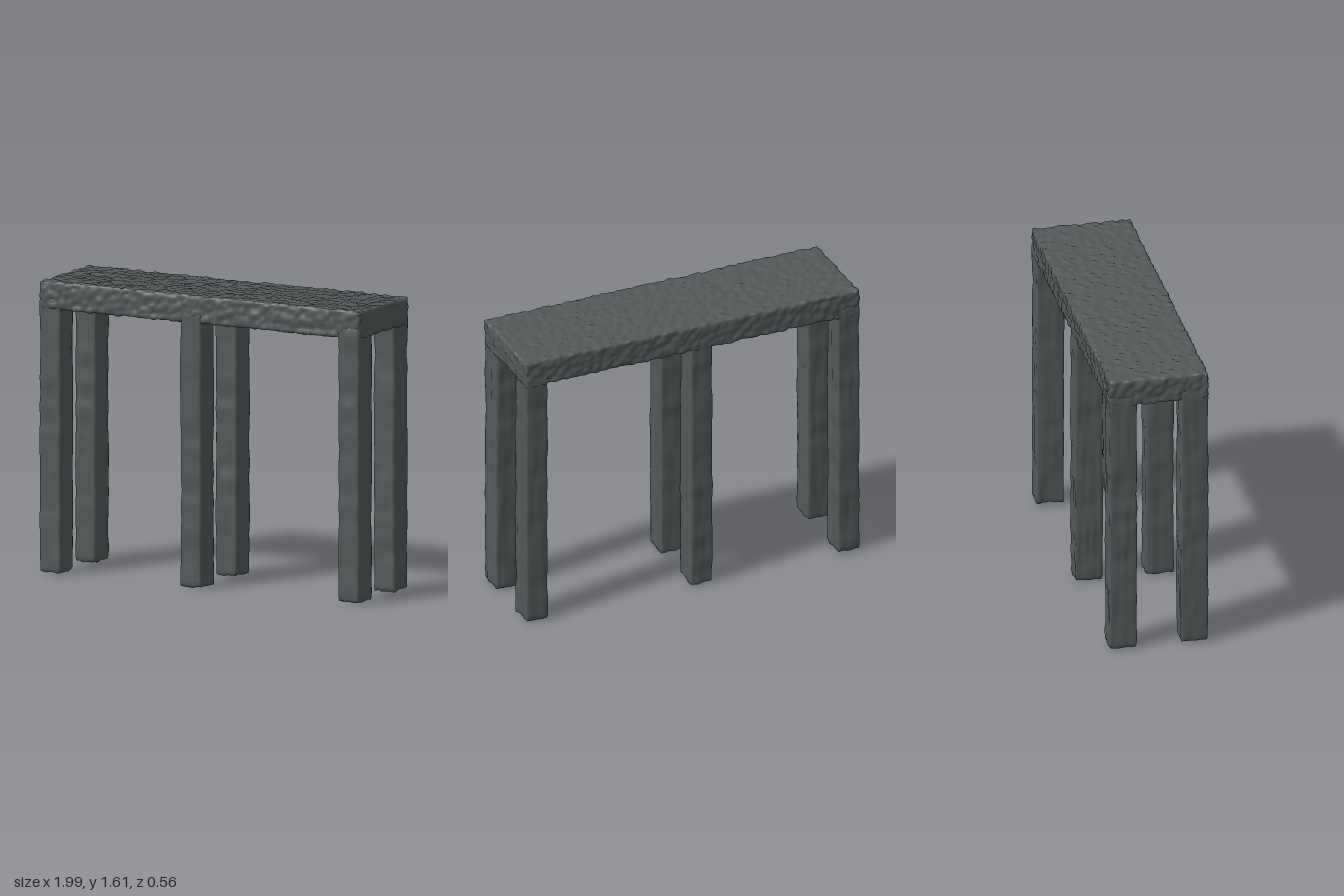
import * as THREE from 'three';
import { mergeVertices } from 'three/addons/utils/BufferGeometryUtils.js';

// Repeatable pseudo-random value in 0..1 for an integer lattice point
function hash(x, y, z, seed) {
  let h = Math.imul(x, 374761393) ^ Math.imul(y, 668265263) ^ Math.imul(z, 1440662683) ^ Math.imul(seed, 974634777);
  h = Math.imul(h ^ (h >>> 13), 1274126177);
  h = Math.imul(h ^ (h >>> 15), 2246822519);
  return ((h ^ (h >>> 16)) >>> 0) / 4294967296;
}

// Smooth noise, 0..1
function noise(x, y, z, seed) {
  const [i, j, k] = [x, y, z].map(Math.floor);
  const ease = (t) => t * t * (3 - 2 * t);
  const u = ease(x - i), v = ease(y - j), w = ease(z - k);
  let sum = 0;
  for (let a = 0; a < 2; a++) for (let b = 0; b < 2; b++) for (let c = 0; c < 2; c++) {
    sum += hash(i + a, j + b, k + c, seed) * (a ? u : 1 - u) * (b ? v : 1 - v) * (c ? w : 1 - w);
  }
  return sum;
}

// Rounded lumps: distance to the nearest jittered lattice point
function lumps(x, y, z, seed) {
  const [i, j, k] = [x, y, z].map(Math.floor);
  let best = 9;
  for (let a = i - 1; a <= i + 1; a++) for (let b = j - 1; b <= j + 1; b++) for (let c = k - 1; c <= k + 1; c++) {
    const dx = a + hash(a, b, c, seed) - x;
    const dy = b + hash(a, b, c, seed + 1) - y;
    const dz = c + hash(a, b, c, seed + 2) - z;
    best = Math.min(best, dx * dx + dy * dy + dz * dz);
  }
  return Math.sqrt(best);
}

// Box with softened edges whose surface is pushed in and out by a rule
function roughBox(size, segments, radius, rule) {
  let geo = new THREE.BoxGeometry(...size, ...segments);
  geo.deleteAttribute('normal');
  geo.deleteAttribute('uv');
  geo = mergeVertices(geo, 1e-4);
  geo.clearGroups();
  const pos = geo.attributes.position;
  const inner = new THREE.Vector3(...size).multiplyScalar(0.5).subScalar(radius);
  const low = inner.clone().negate();
  const p = new THREE.Vector3(), core = new THREE.Vector3(), dir = new THREE.Vector3();
  for (let i = 0; i < pos.count; i++) {
    p.fromBufferAttribute(pos, i);
    core.copy(p).clamp(low, inner);
    dir.subVectors(p, core).normalize();
    core.addScaledVector(dir, radius + rule(p, dir));
    pos.setXYZ(i, core.x, core.y, core.z);
  }
  geo.computeVertexNormals();
  return geo;
}

export function createModel() {
  const model = new THREE.Group();
  const stone = new THREE.MeshStandardMaterial({ color: 0x525858 });
  stone.name = 'dark grey stone';

  // Long hammered slab on top
  const slabGeo = roughBox([1.975, 0.15, 0.545], [164, 13, 46], 0.012, (p) =>
    0.008 - 0.016 * lumps(p.x / 0.042, p.y / 0.042, p.z / 0.042, 3)
    + 0.004 * (noise(p.x * 40, p.y * 40, p.z * 40, 8) - 0.5));
  const slab = new THREE.Mesh(slabGeo, stone);
  slab.name = 'slab top';
  slab.position.y = 1.53;
  model.add(slab);

  // Six legs with vertical grain and wavy edges, in three pairs
  const height = 1.51;
  [-0.925, -0.055, 0.92].forEach((x, pair) => {
    for (const side of [1, -1]) {
      const seed = 20 + pair * 2 + (side > 0 ? 0 : 1);
      const geo = roughBox([0.126, height, 0.152], [11, 76, 13], 0.008, (p, dir) => {
        const grain = noise(p.x * 50, p.y * 4, p.z * 50, seed) - 0.5;
        const wave = noise(p.x * 9, p.y * 13, p.z * 9, seed + 40) - 0.5;
        const end = Math.abs(dir.y) * (0.004 - 0.016 * lumps(p.x / 0.05, 0, p.z / 0.05, seed));
        return 0.006 * grain + 0.011 * wave + end;
      });
      const leg = new THREE.Mesh(geo, stone);
      leg.name = ['right', 'middle', 'left'][pair] + (side > 0 ? ' front leg' : ' back leg');
      leg.position.set(x, 0.008 + height / 2, side * 0.196);
      model.add(leg);
    }
  });
  return model;
}
